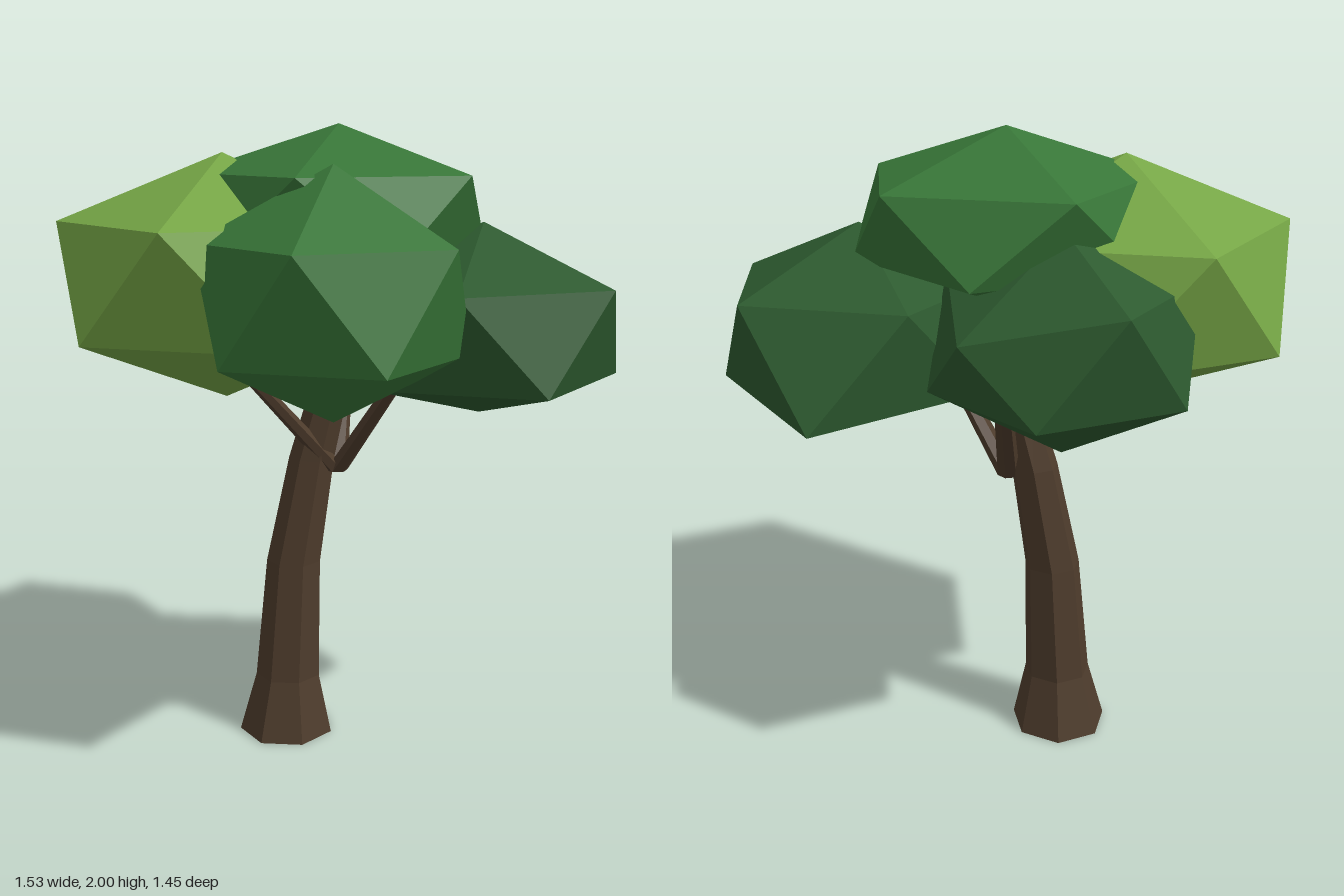
import * as THREE from 'three';

const mat = (name, color) => {
  const m = new THREE.MeshStandardMaterial({ color, flatShading: true });
  m.name = name;
  return m;
};

// Tapered limb following a spine of [x, y, z, radius] rings
function limb(spine, sides, turn) {
  const n = spine.length - 1;
  const g = new THREE.CylinderGeometry(1, 1, 1, sides, n, false, turn);
  const p = g.attributes.position;
  for (let i = 0; i < p.count; i++) {
    const [x, y, z, r] = spine[Math.round((p.getY(i) + 0.5) * n)];
    p.setXYZ(i, x + p.getX(i) * r, y, z + p.getZ(i) * r);
  }
  g.computeVertexNormals();
  return g;
}

// Twenty-sided foliage lobe: top point, two staggered rings of five, bottom point.
// heights = [top, upper ring, lower ring, bottom]; nudges move single corners.
function lobe(x, z, r, heights, nudges = {}) {
  const [top, upper, lower, bottom] = heights;
  const pts = [[x, top, z]];
  const ring = (y, start) => {
    for (let i = 0; i < 5; i++) {
      const a = start + (i * Math.PI * 2) / 5;
      pts.push([x + r * Math.cos(a), y, z + r * Math.sin(a)]);
    }
  };
  ring(upper, 0);
  ring(lower, Math.PI / 5);
  pts.push([x, bottom, z]);
  for (const k in nudges) pts[k] = pts[k].map((v, i) => v + nudges[k][i]);

  const index = [];
  for (let i = 0; i < 5; i++) {
    const j = (i + 1) % 5;
    const u = 1 + i, un = 1 + j, l = 6 + i, ln = 6 + j;
    index.push(0, un, u, u, un, l, l, un, ln, 11, l, ln);
  }
  const g = new THREE.BufferGeometry();
  g.setAttribute('position', new THREE.Float32BufferAttribute(pts.flat(), 3));
  g.setIndex(index);
  const flat = g.toNonIndexed();
  flat.computeVertexNormals();
  return flat;
}

export function createModel() {
  const tree = new THREE.Group();
  tree.name = 'tree';
  const bark = mat('bark brown', 0x4e3c2c);
  const lime = mat('light leaf green', 0x76a646);
  const leaf = mat('leaf green', 0x387638);
  const dark = mat('dark leaf green', 0x2d5a2f);

  const add = (name, geometry, material) => {
    const m = new THREE.Mesh(geometry, material);
    m.name = name;
    tree.add(m);
  };

  // Leaning trunk with a flared foot
  add('trunk', limb([
    [-0.085, 0, -0.155, 0.158],
    [-0.08, 0.2, -0.15, 0.108],
    [-0.06, 0.6, -0.14, 0.09],
    [-0.01, 0.95, -0.105, 0.075],
    [0.035, 1.2, -0.06, 0.063],
    [0.05, 1.6, -0.04, 0.05],
  ], 7, -0.31), bark);

  // Three branches spreading from one fork
  const fork = [0.04, 0.91, -0.04];
  const reach = { leftward: [-0.34, 0.4, -0.1], frontward: [0.05, 0.4, 0.3], backward: [0.25, 0.42, -0.25] };
  for (const [name, d] of Object.entries(reach)) {
    const end = fork.map((v, i) => v + d[i]);
    add(name + 'Branch', limb([[...fork, 0.036], [...end, 0.025]], 6, 0), bark);
  }

  // Foliage crown
  add('crownTop', lobe(0.04, -0.03, 0.458, [2, 1.853, 1.62, 1.47]), leaf);
  add('crownFrontRight', lobe(-0.22, 0.27, 0.395, [1.89, 1.675, 1.355, 1.16]), leaf);
  add('crownBackRight', lobe(-0.25, -0.235, 0.51, [1.915, 1.71, 1.37, 1.16]), lime);
  add('crownFrontLeft', lobe(0.34, 0.3, 0.43, [1.71, 1.53, 1.24, 1.12],
    { 10: [0.07, -0.03, -0.05] }), dark);
  add('crownBackLeft', lobe(0.13, -0.37, 0.385, [1.76, 1.61, 1.31, 1.11],
    { 1: [0, -0.1, 0] }), dark);
  return tree;
}
